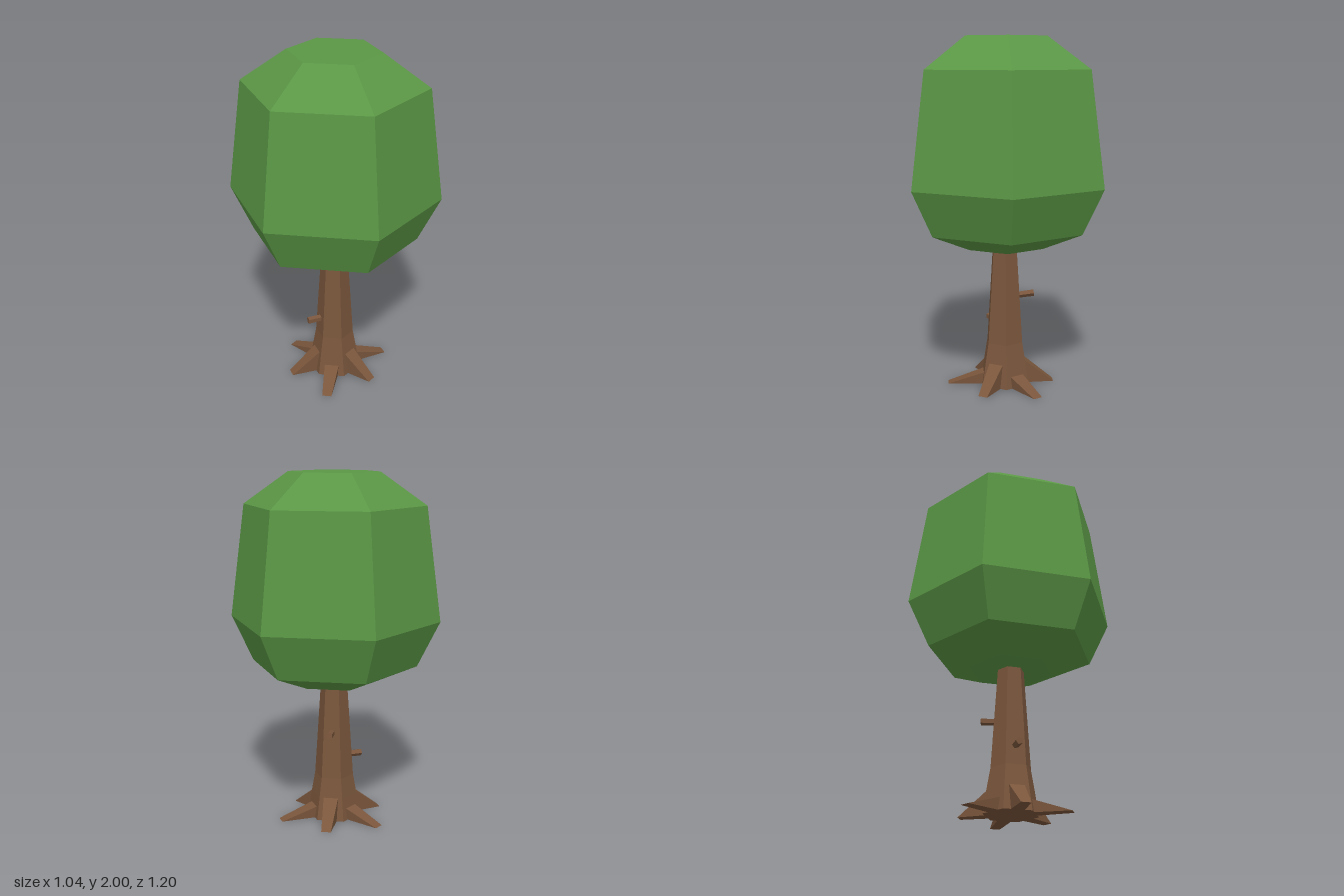
import * as THREE from 'three';

const leafMat = new THREE.MeshStandardMaterial({ color: 0x5a9645, flatShading: true });
const barkMat = new THREE.MeshStandardMaterial({ color: 0x7a563c, flatShading: true });

// Six-sided solid from [radius, height] pairs, listed bottom to top
function hexSolid(name, profile, material) {
  const points = profile.map(([r, y]) => new THREE.Vector2(r, y));
  const mesh = new THREE.Mesh(new THREE.LatheGeometry(points, 6), material);
  mesh.name = name;
  return mesh;
}

// Wedge running outwards along +x, narrowing towards its tip
function rootGeometry(height, reach) {
  const start = 0.05;
  const shoulder = height > 0.1 ? 0.116 : 0.126;
  const side = new THREE.Shape([
    new THREE.Vector2(start, 0),
    new THREE.Vector2(reach, 0),
    new THREE.Vector2(shoulder, height),
    new THREE.Vector2(start, height),
  ]);
  const geo = new THREE.ExtrudeGeometry(side, { depth: 1, bevelEnabled: false });
  geo.translate(0, 0, -0.5);
  const pos = geo.attributes.position;
  for (let i = 0; i < pos.count; i++) {
    const t = Math.max(0, (pos.getX(i) - shoulder) / (reach - shoulder));
    pos.setZ(i, pos.getZ(i) * THREE.MathUtils.lerp(0.085, 0.055, t));
  }
  geo.computeVertexNormals();
  return geo;
}

export function createModel() {
  const tree = new THREE.Group();
  tree.name = 'tree';

  // Crown
  tree.add(hexSolid('crown', [
    [0, 0.82], [0.24, 0.82], [0.475, 0.92], [0.6, 1.18],
    [0.513, 1.82], [0.256, 2], [0, 2],
  ], leafMat));

  // Trunk, flared at the foot
  tree.add(hexSolid('trunk', [
    [0, 0], [0.155, 0], [0.134, 0.13], [0.113, 0.25], [0.075, 0.83], [0, 0.83],
  ], barkMat));

  // Roots, one per trunk face, alternately tall and low
  const tall = rootGeometry(0.135, 0.285);
  const low = rootGeometry(0.068, 0.333);
  for (let i = 0; i < 6; i++) {
    const root = new THREE.Mesh(i % 2 ? low : tall, barkMat);
    root.name = 'root';
    root.rotation.y = -i * Math.PI / 3;
    tree.add(root);
  }

  // Broken branch stubs
  const stubGeo = new THREE.CylinderGeometry(0.021, 0.019, 0.11, 5);
  stubGeo.rotateZ(-Math.PI / 2);
  stubGeo.translate(0.115, 0, 0);
  for (const [angle, y, tilt] of [[120, 0.357, 0], [240, 0.515, 0.12]]) {
    const stub = new THREE.Mesh(stubGeo, barkMat);
    stub.name = 'branchStub';
    stub.position.y = y;
    stub.rotation.set(0, -THREE.MathUtils.degToRad(angle), tilt);
    tree.add(stub);
  }

  return tree;
}
